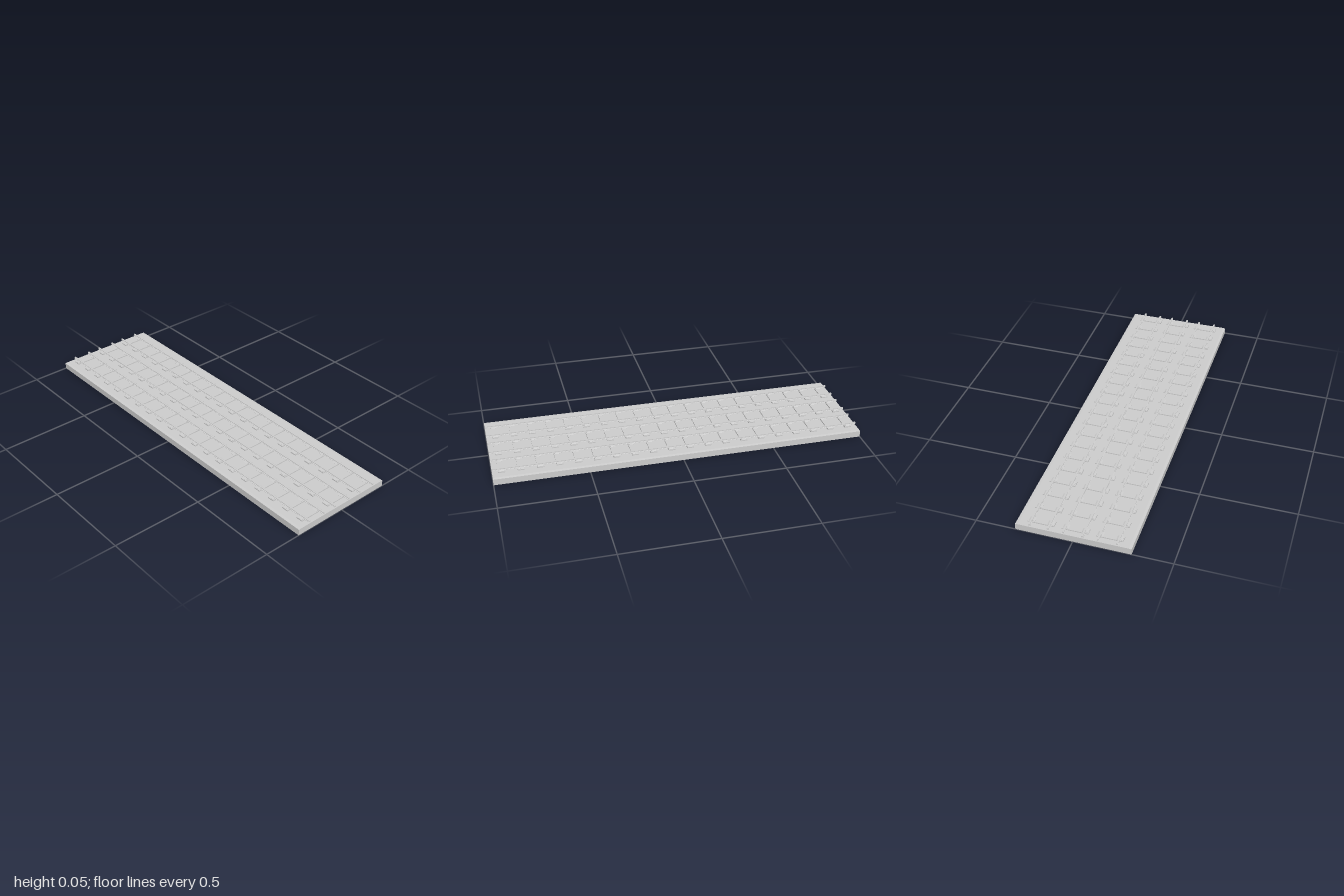
import * as THREE from 'three';

export function createModel() {
  const group = new THREE.Group();
  group.name = 'tripleTrack';
  const grey = new THREE.MeshStandardMaterial({ color: 0xcccccc });
  grey.name = 'stone grey';

  // Extrude an x/y outline along z, centred on z = 0
  const extrudeAlongZ = (points, length) => {
    const shape = new THREE.Shape(points.map(([x, y]) => new THREE.Vector2(x, y)));
    return new THREE.ExtrudeGeometry(shape, { depth: length, bevelEnabled: false })
      .translate(0, 0, -length / 2);
  };
  const mirrored = (half) => [...half, ...half.slice().reverse().map(([x, y]) => [-x, y])];
  const add = (parent, geometry, name, x, y, z) => {
    const mesh = new THREE.Mesh(geometry, grey);
    mesh.name = name;
    mesh.position.set(x, y, z);
    parent.add(mesh);
  };

  // Track bed with slightly eased upper edges
  add(group, extrudeAlongZ(mirrored([[0.294, 0], [0.294, 0.0335], [0.28, 0.0355]]).reverse(), 2),
    'trackBed', 0, 0, 0);

  // Rail section: foot, web and head
  const railGeo = extrudeAlongZ(mirrored([
    [0.0055, 0.0425], [0.0055, 0.0435], [0.0015, 0.0450],
    [0.0015, 0.0475], [0.0045, 0.0485], [0.0045, 0.0510],
  ]), 2);
  // Sloped tie plate under each rail
  const plateGeo = extrudeAlongZ(mirrored([
    [0.0150, 0.0405], [0.0150, 0.0415], [0.0080, 0.0440],
  ]), 0.026);
  const sleeperGeo = new THREE.BoxGeometry(0.136, 0.0075, 0.036);

  // Three tracks, each with two rails and twenty sleepers
  for (const trackX of [-0.175, -0.001, 0.173]) {
    const track = new THREE.Group();
    track.name = 'track';
    track.position.x = trackX;
    group.add(track);
    for (const side of [-1, 1]) add(track, railGeo, 'rail', side * 0.048, 0, 0);
    for (let i = 0; i < 20; i++) {
      const z = -0.95 + i * 0.1;
      add(track, sleeperGeo, 'sleeper', 0, 0.03725, z);
      for (const side of [-1, 1]) add(track, plateGeo, 'tiePlate', side * 0.048, 0, z);
    }
  }
  return group;
}
